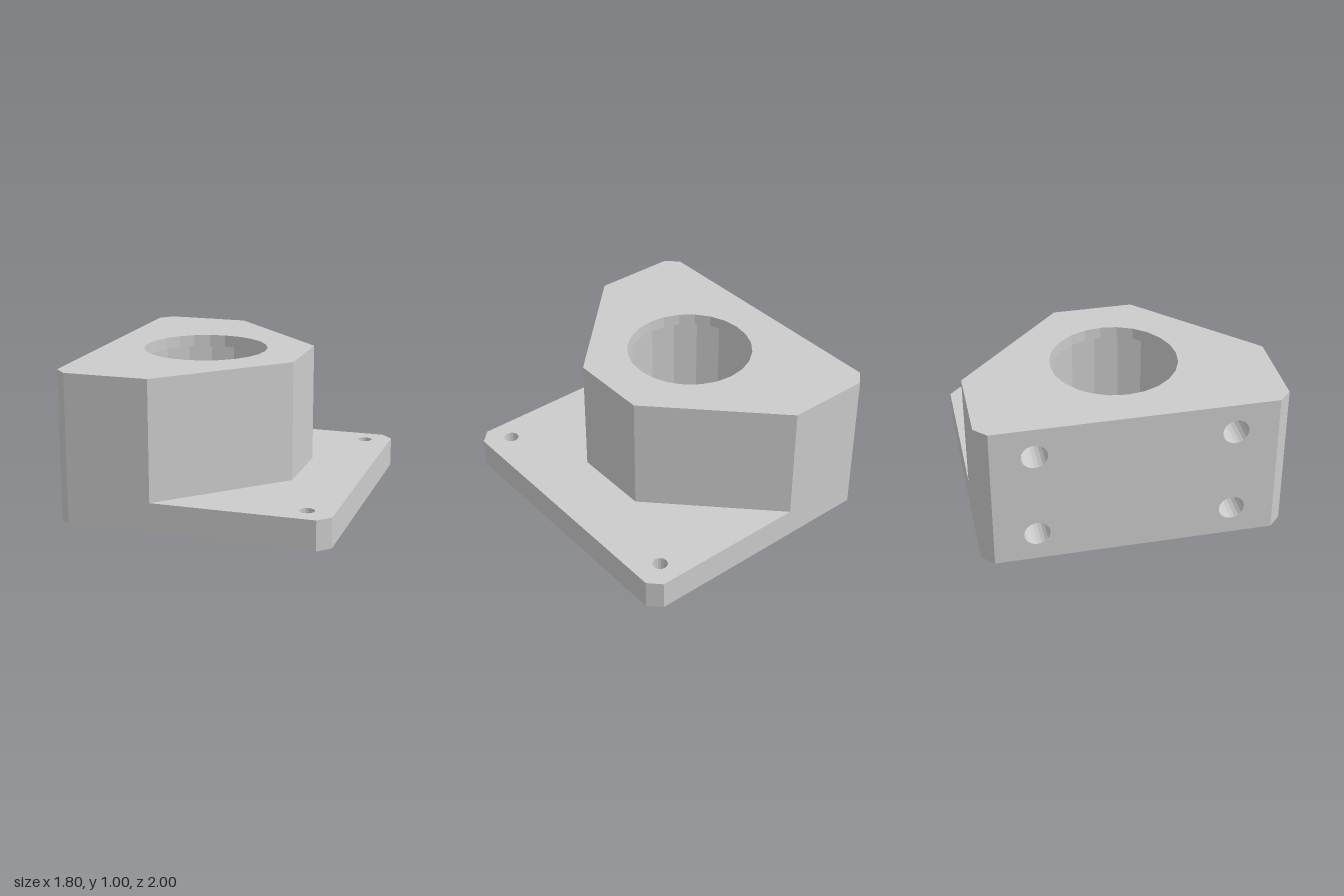
import * as THREE from 'three';

const material = new THREE.MeshStandardMaterial({ color: 0xcccccc, flatShading: true });

// Clockwise circle, so a wall built on it faces the inside of the hole
function circle(cx, cy, r, n) {
  return Array.from({ length: n }, (_, i) => {
    const a = -i / n * Math.PI * 2;
    return [cx + r * Math.cos(a), cy + r * Math.sin(a)];
  });
}

const vectors = (pts) => pts.map(([x, y]) => new THREE.Vector2(x, y));
const close = (pts) => [...pts, pts[0]];

// Flat face at height h, with holes; flip makes it face down
function face(name, outline, holes, h, flip = false) {
  const shape = new THREE.Shape(vectors(outline));
  shape.holes = holes.map((p) => new THREE.Path(vectors(p)));
  const geo = new THREE.ShapeGeometry(shape);
  if (flip) {
    geo.index.array.reverse();
    geo.computeVertexNormals();
  }
  geo.translate(0, 0, h);
  const mesh = new THREE.Mesh(geo, material);
  mesh.name = name;
  return mesh;
}

// Wall along a path, from height h0 to h1
function wall(name, pts, h0, h1) {
  const pos = [];
  for (let i = 0; i + 1 < pts.length; i++) {
    const [a, b] = [pts[i], pts[i + 1]];
    pos.push(...a, h0, ...b, h0, ...b, h1, ...a, h0, ...b, h1, ...a, h1);
  }
  const geo = new THREE.BufferGeometry();
  geo.setAttribute('position', new THREE.Float32BufferAttribute(pos, 3));
  geo.computeVertexNormals();
  const mesh = new THREE.Mesh(geo, material);
  mesh.name = name;
  return mesh;
}

export function createModel() {
  const model = new THREE.Group();
  model.name = 'flangedHousing';

  // Outlines seen from above, both starting and ending on the mounting face
  const plate = [[-0.9, -0.92], [-0.82, -1], [0.82, -1], [0.9, -0.92],
    [0.9, 0.92], [0.82, 1], [-0.82, 1], [-0.9, 0.92]];
  const block = [[-0.9, -0.92], [-0.82, -1], [-0.26, -1], [0.47, -0.27],
    [0.47, 0.27], [-0.26, 1], [-0.82, 1], [-0.9, 0.92]];
  const ledge = [...block.slice(2, 3), ...plate.slice(2, 6), block[5], block[4], block[3]];

  const opening = circle(-0.22, 0, 0.42, 24);
  const bore = circle(-0.22, 0, 0.63, 24);
  const through = [-0.84, 0.84].map((y) => circle(0.72, y, 0.05, 16));
  const blind = [-0.84, 0.84].map((y) => circle(-0.72, y, 0.05, 16));

  // Body, drawn flat and then stood up
  const body = new THREE.Group();
  body.name = 'body';
  body.rotation.x = -Math.PI / 2;
  body.add(
    face('baseUnderside', plate, [bore, ...through, ...blind], 0, true),
    wall('baseSides', plate, 0, 0.2),
    face('baseLedge', ledge, through, 0.2),
    wall('blockSides', block, 0.2, 1),
    face('blockTop', block, [opening], 1),
    wall('topOpening', close(opening), 0.92, 1),
    face('boreShoulder', bore, [opening], 0.92, true),
    wall('mainBore', close(bore), 0, 0.92),
  );
  for (const hole of [...through, ...blind]) body.add(wall('baseHole', close(hole), 0, 0.2));
  for (const hole of blind) body.add(face('baseHoleEnd', hole, [], 0.2, true));

  // Flat mounting face with four blind holes
  const mount = new THREE.Group();
  mount.name = 'mountingFace';
  mount.rotation.y = -Math.PI / 2;
  mount.position.x = -0.9;
  const sockets = [];
  for (const z of [-0.64, 0.64]) for (const y of [0.2, 0.8]) sockets.push(circle(z, y, 0.085, 20));
  mount.add(face('mountingPanel', [[-0.92, 0], [0.92, 0], [0.92, 1], [-0.92, 1]], sockets, 0));
  for (const s of sockets) {
    mount.add(wall('mountingHole', close(s), -0.3, 0), face('mountingHoleEnd', s, [], -0.3));
  }

  model.add(body, mount);
  return model;
}
